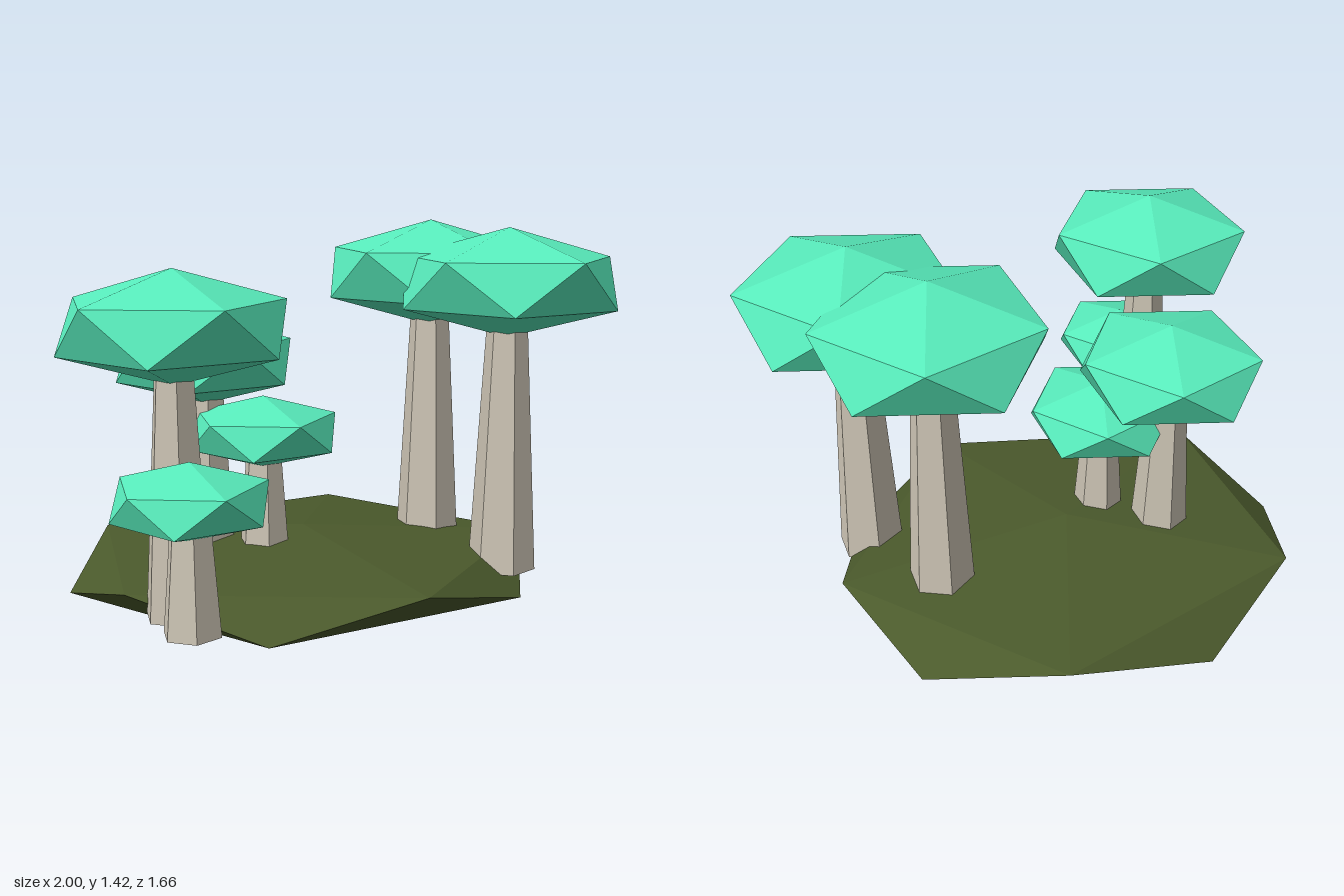
import * as THREE from 'three';
import { ConvexGeometry } from 'three/addons/geometries/ConvexGeometry.js';

const flat = (color) => new THREE.MeshStandardMaterial({ color, flatShading: true });

// Icosahedron standing on a pole: two staggered rings of five between two tips
function icosahedron(rx, h, rz) {
  const points = [new THREE.Vector3(0, h, 0), new THREE.Vector3(0, -h, 0)];
  for (let i = 0; i < 10; i++) {
    const a = (i * Math.PI) / 5;
    const y = (i % 2 ? -1 : 1) * h / Math.sqrt(5);
    points.push(new THREE.Vector3(rx * Math.cos(a), y, rz * Math.sin(a)));
  }
  return new ConvexGeometry(points);
}

// x, z, canopy centre height, canopy ring radius, canopy half height, trunk base and top radius
const TREES = [
  [-0.63, 0.405, 1.105, 0.372, 0.188, 0.118, 0.06],
  [-0.61, 0.59, 0.58, 0.252, 0.126, 0.1, 0.064],
  [-0.45, -0.19, 0.912, 0.326, 0.163, 0.112, 0.065],
  [-0.26, -0.032, 0.665, 0.27, 0.132, 0.1, 0.062],
  [0.43, -0.21, 1.22, 0.394, 0.2, 0.125, 0.066],
  [0.605, 0.155, 1.205, 0.394, 0.197, 0.125, 0.066],
];
const TRUNK_BASE = 0.143;

export function createModel() {
  const model = new THREE.Group();
  model.name = 'treeIsland';
  const groundMaterial = flat(0x4b5a2c);
  const trunkMaterial = flat(0xcec6b6);
  const leafMaterial = flat(0x58ecbc);

  // Flattened island
  const ground = new THREE.Mesh(icosahedron(0.877, 0.14, 0.753), groundMaterial);
  ground.name = 'ground';
  ground.position.set(-0.095, 0.14, -0.115);
  model.add(ground);

  // Trees: six-sided tapered trunk reaching into a squashed canopy
  for (const [x, z, cy, r, h, base, top] of TREES) {
    const tree = new THREE.Group();
    tree.name = 'tree';
    tree.position.set(x, 0, z);

    const length = cy - TRUNK_BASE;
    const trunk = new THREE.Mesh(new THREE.CylinderGeometry(top, base, length, 6), trunkMaterial);
    trunk.name = 'trunk';
    trunk.position.y = TRUNK_BASE + length / 2;

    const canopy = new THREE.Mesh(icosahedron(r, h, r), leafMaterial);
    canopy.name = 'canopy';
    canopy.position.y = cy;

    tree.add(trunk, canopy);
    model.add(tree);
  }
  return model;
}
